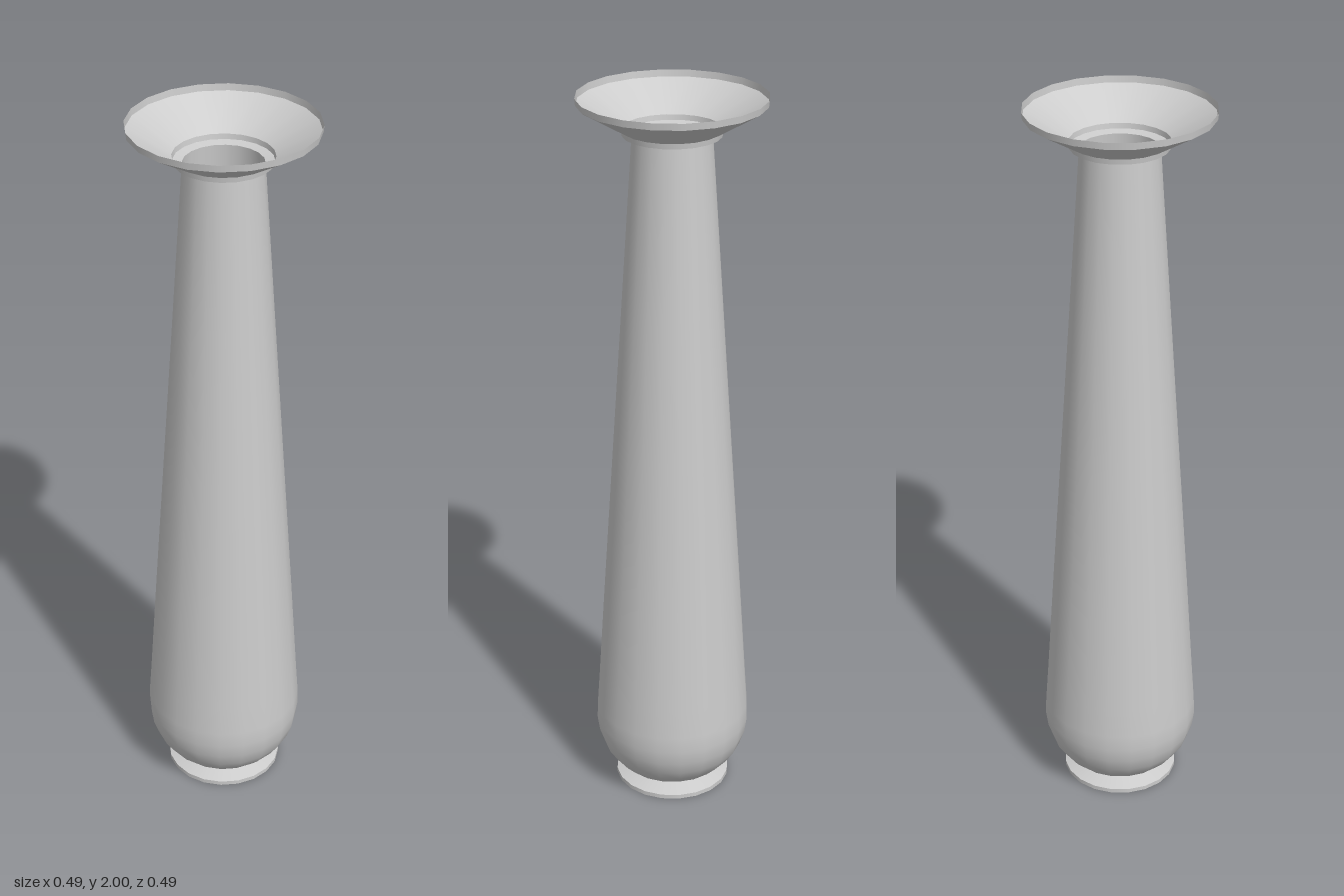
import * as THREE from 'three';

const SIDES = 20;

export function createModel() {
  const group = new THREE.Group();
  const material = new THREE.MeshStandardMaterial({ color: 0xcccccc, side: THREE.DoubleSide });

  // Each part is its own thin lathed shell, so the joints between parts stay sharp
  const addShell = (name, profile) => {
    const points = profile.map(([r, y]) => new THREE.Vector2(r, y));
    const mesh = new THREE.Mesh(new THREE.LatheGeometry(points, SIDES), material);
    mesh.name = name;
    group.add(mesh);
  };

  // Foot: thin rim and a shallow sloped flange around the open bottom
  addShell('footRim', [[0.16, 0], [0.16, 0.012]]);
  addShell('footFlange', [[0.16, 0.012], [0.115, 0.027]]);

  // Body: rounded bulb flowing into a long tapering neck
  addShell('body', [
    [0.115, 0.027], [0.145, 0.047], [0.172, 0.074], [0.195, 0.108],
    [0.209, 0.148], [0.215, 0.19], [0.214, 0.235], [0.208, 0.32],
    [0.19, 0.6], [0.162, 1.02], [0.134, 1.44], [0.104, 1.895],
  ]);

  // Collar: flat step and short upright band at the top of the neck
  addShell('collarStep', [[0.104, 1.895], [0.128, 1.9]]);
  addShell('collarBand', [[0.128, 1.9], [0.13, 1.914]]);

  // Mouth: wide flare ending in a short upright lip
  addShell('mouthFlare', [[0.13, 1.914], [0.244, 1.982]]);
  addShell('mouthLip', [[0.244, 1.982], [0.246, 2]]);

  return group;
}
